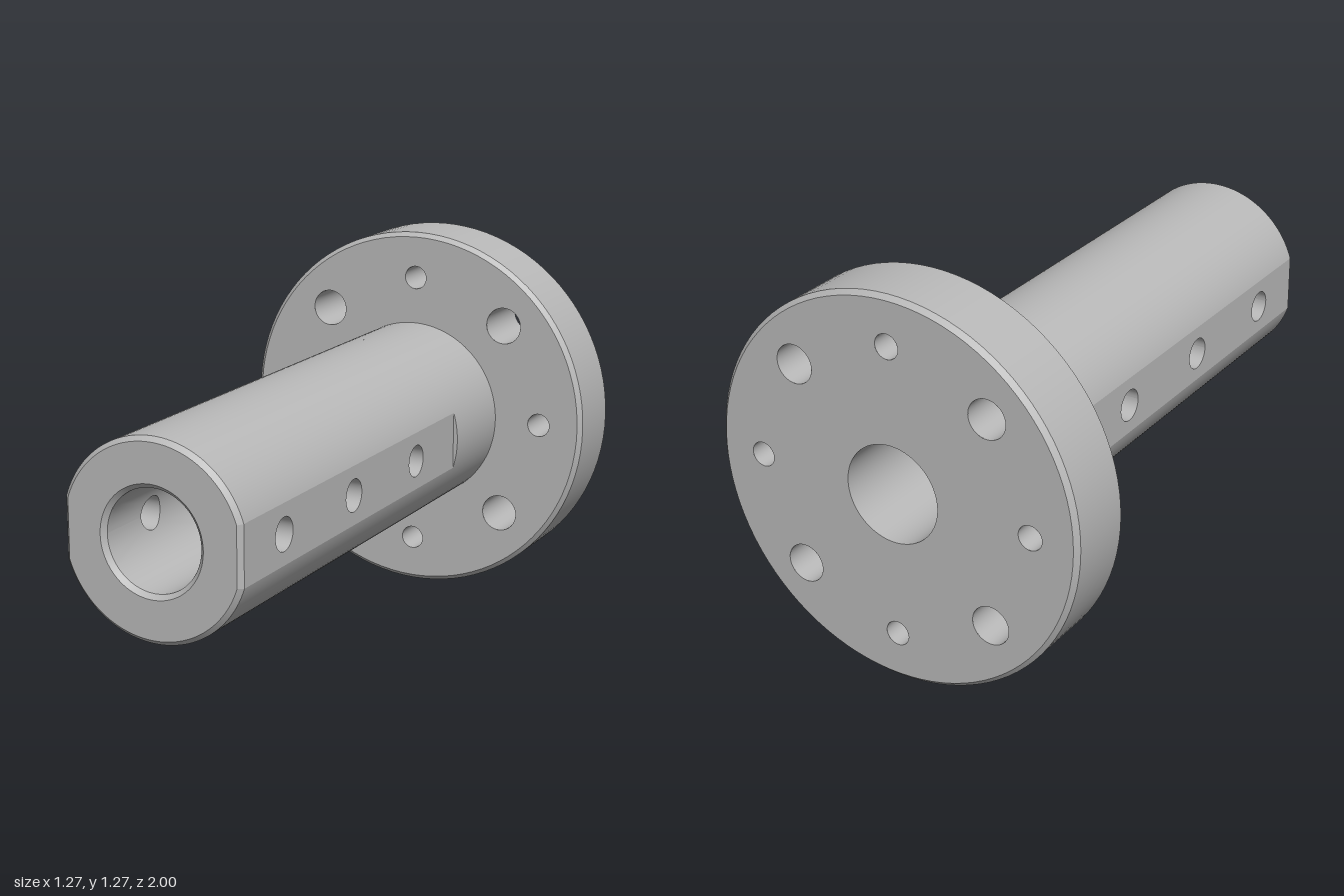
import * as THREE from 'three';

const R = 0.635, RIM = 0.62;            // flange radius, chamfered edge radius
const SHAFT = 0.315, BORE = 0.16;       // shaft and bore radii
const FLAT = 0.3, STEP = -0.43;         // side flat distance and where it ends
const BACK = -1, SEAT = -0.75, TIP = 1; // stations along z
const C = 0.015;                        // chamfer size
const CROSS = 0.053, CROSS_Z = [0.75, 0.305, -0.14];
const A = Math.acos(FLAT / SHAFT);      // half angle of a flat
const TAU = Math.PI * 2;

// Conical or straight wall about the z axis, optionally a partial arc
function wall(r0, z0, r1, z1, start = 0, len = TAU, seg = 96) {
  const g = new THREE.CylinderGeometry(r1, r0, z1 - z0, seg, 1, true, start + Math.PI / 2, len);
  return g.rotateX(Math.PI / 2).translate(0, 0, (z0 + z1) / 2);
}

// Surface through equally long rows of points
function loft(rows) {
  const n = rows[0].length, index = [];
  for (let i = 0; i < rows.length - 1; i++) {
    for (let j = 0; j < n - 1; j++) {
      const a = i * n + j, b = a + n;
      index.push(a, a + 1, b, b, a + 1, b + 1);
    }
  }
  const g = new THREE.BufferGeometry();
  g.setAttribute('position', new THREE.Float32BufferAttribute(rows.flat(2), 3));
  g.setIndex(index);
  g.computeVertexNormals();
  return g;
}

const row = (n, f) => Array.from({ length: n + 1 }, (_, i) => f(i / n));
const circle = (x, y, r) => new THREE.Path().absarc(x, y, r, 0, TAU, true);
const arcRow = (r, a, z) => row(48, t => {
  const q = a + t * (Math.PI - 2 * a);
  return [r * Math.cos(q), r * Math.sin(q), z];
});

export function createModel() {
  const steel = new THREE.MeshStandardMaterial({ color: 0xb8b8b8, side: THREE.DoubleSide });
  steel.name = 'steel grey';
  const model = new THREE.Group();
  model.name = 'flangedSleeve';
  const group = name => {
    const g = new THREE.Group();
    g.name = name;
    model.add(g);
    return g;
  };
  const add = (parent, name, geometry) => {
    const m = new THREE.Mesh(geometry, steel);
    m.name = name;
    parent.add(m);
    return m;
  };

  // Flange: rim, chamfers, two drilled faces and the hole walls
  const flange = group('flange');
  add(flange, 'flangeRim', wall(R, BACK + C, R, SEAT - C));
  add(flange, 'flangeBackChamfer', wall(RIM, BACK, R, BACK + C));
  add(flange, 'flangeFrontChamfer', wall(R, SEAT - C, RIM, SEAT));
  const bolts = row(7, t => {
    const i = Math.round(t * 7), q = i * Math.PI / 4;
    return [0.477 * Math.cos(q), 0.477 * Math.sin(q), i % 2 ? 0.063 : 0.04];
  });
  const flangeFace = inner => {
    const s = new THREE.Shape().absarc(0, 0, RIM, 0, TAU);
    s.holes.push(circle(0, 0, inner), ...bolts.map(b => circle(...b)));
    return new THREE.ShapeGeometry(s, 48);
  };
  add(flange, 'flangeFrontFace', flangeFace(SHAFT).translate(0, 0, SEAT));
  add(flange, 'flangeBackFace', flangeFace(BORE).rotateY(Math.PI).translate(0, 0, BACK));
  for (const [x, y, r] of bolts) {
    add(flange, 'boltHole', wall(r, BACK, r, SEAT, 0, TAU, 48).translate(x, y, 0));
  }

  // Shaft: full round by the flange, then two arcs between the side flats
  const shaft = group('shaft');
  add(shaft, 'shaftRoot', wall(SHAFT, SEAT, SHAFT, STEP));
  for (const turn of [0, Math.PI]) {
    const half = new THREE.Group();
    half.name = turn ? 'rightHalf' : 'leftHalf';
    half.rotation.z = turn;
    shaft.add(half);

    add(half, 'shaftArc', wall(SHAFT, STEP, SHAFT, TIP - C, A, Math.PI - 2 * A, 48));
    const A2 = Math.acos((FLAT - C) / (SHAFT - C));
    add(half, 'arcChamfer', loft([arcRow(SHAFT, A, TIP - C), arcRow(SHAFT - C, A2, TIP)]));

    // Side flat with its cross holes, edge chamfer and end step
    const h = SHAFT * Math.sin(A), h2 = (SHAFT - C) * Math.sin(A2);
    const plate = new THREE.Shape([[C - TIP, -h], [-STEP, -h], [-STEP, h], [C - TIP, h]]
      .map(p => new THREE.Vector2(...p)));
    plate.holes = CROSS_Z.map(z => circle(-z, 0, CROSS));
    add(half, 'sideFlat', new THREE.ShapeGeometry(plate, 24).rotateY(Math.PI / 2).translate(FLAT, 0, 0));
    add(half, 'flatChamfer', loft([
      [[FLAT, -h, TIP - C], [FLAT, h, TIP - C]],
      [[FLAT - C, -h2, TIP], [FLAT - C, h2, TIP]],
    ]));
    const lip = new THREE.Shape().absarc(0, 0, SHAFT, -A, A);
    add(half, 'flatStep', new THREE.ShapeGeometry(lip, 16).translate(0, 0, STEP));

    // Bore wall: plain arc, plain end and one pierced patch per cross hole
    const W = 0.6, D = 0.2225;
    add(half, 'boreArc', wall(BORE, BACK, BORE, TIP - C, W, Math.PI - 2 * W, 48));
    add(half, 'boreEnd', wall(BORE, BACK, BORE, CROSS_Z[2] - D, -W, 2 * W, 24));
    CROSS_Z.forEach((zc, i) => {
      const top = i === 0 ? TIP - C - zc : D;
      const onBore = (q, z) => [BORE * Math.cos(q), BORE * Math.sin(q), z];
      const edge = t => [Math.asin(CROSS * Math.sin(t * TAU) / BORE), zc + CROSS * Math.cos(t * TAU)];
      const patch = row(10, k => row(48, t => {
        const c = Math.cos(t * TAU), s = Math.sin(t * TAU), m = Math.max(Math.abs(c), Math.abs(s));
        const [q, z] = edge(t);
        const zEdge = zc + c / m * (c > 0 ? top : D);
        return onBore(q + (W * s / m - q) * k, z + (zEdge - z) * k);
      }));
      add(half, 'boreHolePatch', loft(patch));
      add(half, 'crossHole', loft([
        row(48, t => onBore(...edge(t))),
        row(48, t => [FLAT, CROSS * Math.sin(t * TAU), zc + CROSS * Math.cos(t * TAU)]),
      ]));
    });
  }

  // Front end face with countersunk bore mouth
  const A3 = Math.acos((FLAT - C) / (SHAFT - C));
  const end = new THREE.Shape();
  end.absarc(0, 0, SHAFT - C, A3, Math.PI - A3);
  end.absarc(0, 0, SHAFT - C, Math.PI + A3, TAU - A3);
  end.closePath();
  end.holes.push(circle(0, 0, BORE + C));
  add(shaft, 'endFace', new THREE.ShapeGeometry(end, 48).translate(0, 0, TIP));
  add(shaft, 'boreChamfer', wall(BORE, TIP - C, BORE + C, TIP));

  model.position.y = R;
  return model;
}
